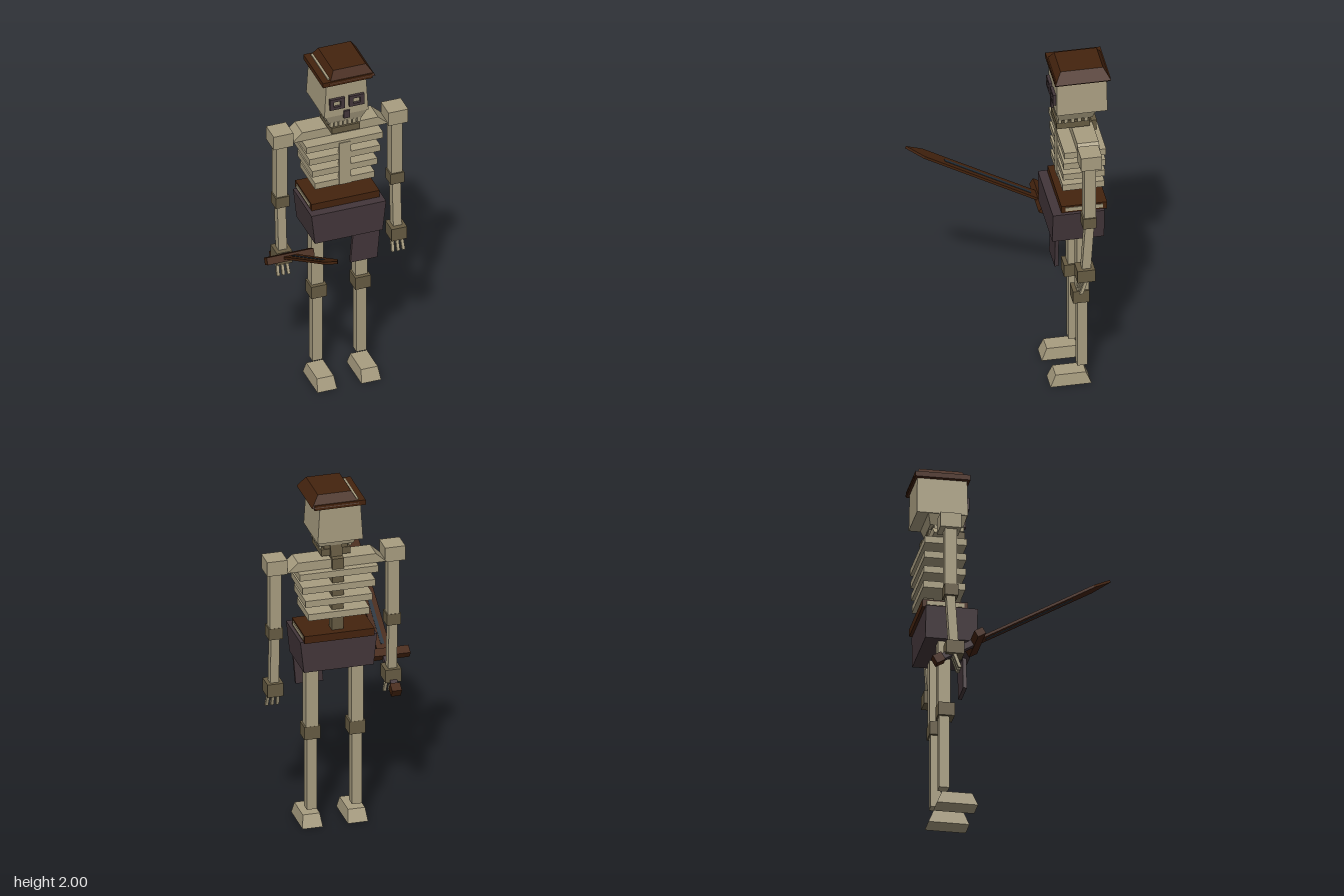
import * as THREE from 'three';

const mat = (name, color) => {
  const m = new THREE.MeshStandardMaterial({ color });
  m.name = name;
  return m;
};

export function createModel() {
  const bone = mat('bone', 0xa89d80);
  const joint = mat('dark bone', 0x675c43);
  const cloth = mat('dusky cloth', 0x43363a);
  const leather = mat('brown leather', 0x44230e);
  const steel = mat('blue steel', 0x25303a);

  const model = new THREE.Group();
  model.name = 'skeletonWarrior';
  const body = new THREE.Group();
  body.name = 'body';
  body.position.x = 0.0365;
  model.add(body);

  // Box between two corners; top face may be resized (tw, td) and shifted (sx, sz)
  function block(parent, name, material, [x0, x1], [y0, y1], [z0, z1], { tw = 1, td = 1, sx = 0, sz = 0 } = {}) {
    const g = new THREE.BoxGeometry(x1 - x0, y1 - y0, z1 - z0);
    const p = g.attributes.position;
    for (let i = 0; i < p.count; i++) {
      if (p.getY(i) > 0) {
        p.setX(i, p.getX(i) * tw + sx);
        p.setZ(i, p.getZ(i) * td + sz);
      }
    }
    g.computeVertexNormals();
    const mesh = new THREE.Mesh(g, material);
    mesh.name = name;
    mesh.position.set((x0 + x1) / 2, (y0 + y1) / 2, (z0 + z1) / 2);
    parent.add(mesh);
    return mesh;
  }
  const wide = (w, c = 0) => [c - w / 2, c + w / 2];

  // Legs and arms, mirrored about the body axis
  for (const s of [-1, 1]) {
    const side = s > 0 ? 'left' : 'right';
    const leg = new THREE.Group();
    leg.name = side + 'Leg';
    leg.position.x = s * 0.125;
    body.add(leg);
    block(leg, 'foot', bone, wide(0.112), [0, 0.07], [-0.4, -0.178], { tw: 0.84, td: 0.74 });
    block(leg, 'shin', bone, wide(0.056), [0.103, 0.53], [-0.383, -0.328]);
    block(leg, 'knee', joint, wide(0.088), [0.52, 0.595], [-0.391, -0.302]);
    block(leg, 'thigh', bone, wide(0.068), [0.59, 1.0], [-0.39, -0.324]);

    const arm = new THREE.Group();
    arm.name = side + 'Arm';
    arm.position.x = s * 0.326;
    body.add(arm);
    block(arm, 'shoulder', bone, wide(0.112), [1.525, 1.608], [-0.418, -0.304]);
    block(arm, 'upperArm', bone, wide(0.064), [1.19, 1.53], [-0.39, -0.326]);
    block(arm, 'elbow', joint, wide(0.078), [1.135, 1.2], [-0.392, -0.318]);
    block(arm, 'forearm', bone, wide(0.048), [0.86, 1.14], [-0.363, -0.315], { sz: -0.018 });
    block(arm, 'hand', joint, wide(0.088), [0.793, 0.868], [-0.384, -0.287]);
    for (const f of [-1, 0, 1]) {
      block(arm, 'finger', bone, wide(0.016, f * 0.03), [0.715, 0.8], [-0.318, -0.3],
        { sx: -f * 0.004, sz: -0.03 });
    }
  }

  // Hip cloth, hanging flap and belt
  block(body, 'hipCloth', cloth, wide(0.385), [0.955, 1.135], [-0.465, -0.185], { tw: 1.1 });
  block(body, 'clothFlap', cloth, [0.016, 0.168], [0.775, 0.965], [-0.222, -0.202], { sx: 0.016 });
  block(body, 'belt', leather, wide(0.386), [1.133, 1.176], [-0.482, -0.234]);
  for (const s of [-1, 1]) {
    block(body, 'beltTrim', bone, wide(0.006, s * 0.194), [1.145, 1.167], [-0.458, -0.255]);
  }

  // Spine, ribs, breastbone and collarbone
  block(body, 'spine', joint, wide(0.064), [1.17, 1.6], [-0.442, -0.388], { sz: -0.015 });
  block(body, 'neck', joint, wide(0.064), [1.57, 1.73], [-0.43, -0.365], { sz: 0.02 });
  [0.435, 0.403, 0.37, 0.338].forEach((w, i) => {
    const y = 1.5 - i * 0.08;
    block(body, 'rib', bone, wide(w), [y, y + 0.038], [-0.472, -0.245]);
  });
  block(body, 'breastbone', bone, wide(0.064), [1.26, 1.525], [-0.262, -0.241]);
  block(body, 'collarbone', bone, wide(0.545), [1.537, 1.59], [-0.432, -0.315], { tw: 0.79 });

  // Head
  const head = new THREE.Group();
  head.name = 'head';
  body.add(head);
  block(head, 'skull', bone, wide(0.25), [1.72, 1.93], [-0.497, -0.222], { tw: 0.9, td: 0.98 });
  block(head, 'upperJaw', bone, wide(0.185), [1.665, 1.722], [-0.42, -0.24], { tw: 1.3, td: 1.17 });
  block(head, 'lowerJaw', joint, wide(0.16), [1.602, 1.64], [-0.41, -0.23]);
  block(head, 'mouth', joint, wide(0.13), [1.635, 1.67], [-0.405, -0.255]);
  for (let i = 0; i < 7; i++) {
    block(head, 'tooth', bone, wide(0.02, (i - 3) * 0.026), [1.642, 1.67], [-0.256, -0.238]);
  }
  for (const s of [-1, 1]) {
    for (let i = 0; i < 4; i++) {
      block(head, 'toothSide', bone, wide(0.014, s * 0.083), [1.642, 1.67], wide(0.02, -0.28 - i * 0.036));
    }
  }
  // Eye frames: four bars around a pale centre
  for (const s of [-1, 1]) {
    const c = s * 0.055;
    for (const k of [-1, 1]) {
      block(head, 'eyeFrameBar', cloth, wide(0.084, c), wide(0.017, 1.803 + k * 0.0245), [-0.226, -0.208]);
      block(head, 'eyeFramePost', cloth, wide(0.022, c + k * 0.031), wide(0.032, 1.803), [-0.226, -0.208]);
    }
  }
  block(head, 'nose', cloth, wide(0.034), [1.7, 1.746], [-0.23, -0.212]);

  // Hat: brim set a little to one side of the crown
  block(head, 'hatBrim', leather, [-0.137, 0.145], [1.924, 1.953], [-0.508, -0.21]);
  block(head, 'hatCrown', leather, [-0.1, 0.16], [1.938, 2], [-0.51, -0.208], { tw: 0.71, td: 0.76, sx: -0.004 });
  block(head, 'hatTrim', bone, [-0.102, -0.09], [1.95, 1.96], [-0.49, -0.235]);

  // Sword, tilted upward from the right hand
  const sword = new THREE.Group();
  sword.name = 'sword';
  sword.position.set(-0.2895, 0.885, -0.2175);
  sword.rotation.x = -Math.PI / 6;
  model.add(sword);
  const outline = new THREE.Shape([[-0.038, 0], [0.038, 0], [0.038, 0.73], [0, 0.84], [-0.038, 0.73]]
    .map(([x, y]) => new THREE.Vector2(x, y)));
  const bladeGeo = new THREE.ExtrudeGeometry(outline, { depth: 0.014, bevelEnabled: false });
  bladeGeo.translate(0, 0, -0.007).rotateX(Math.PI / 2);
  const blade = new THREE.Mesh(bladeGeo, leather);
  blade.name = 'blade';
  sword.add(blade);
  block(sword, 'fuller', steel, wide(0.02), wide(0.018), [0.06, 0.6]);
  block(sword, 'guard', leather, wide(0.266), wide(0.04), wide(0.05));
  block(sword, 'grip', cloth, wide(0.038), wide(0.034), [-0.22, 0]);
  block(sword, 'pommel', leather, wide(0.054), wide(0.05), [-0.26, -0.208]);

  return model;
}
